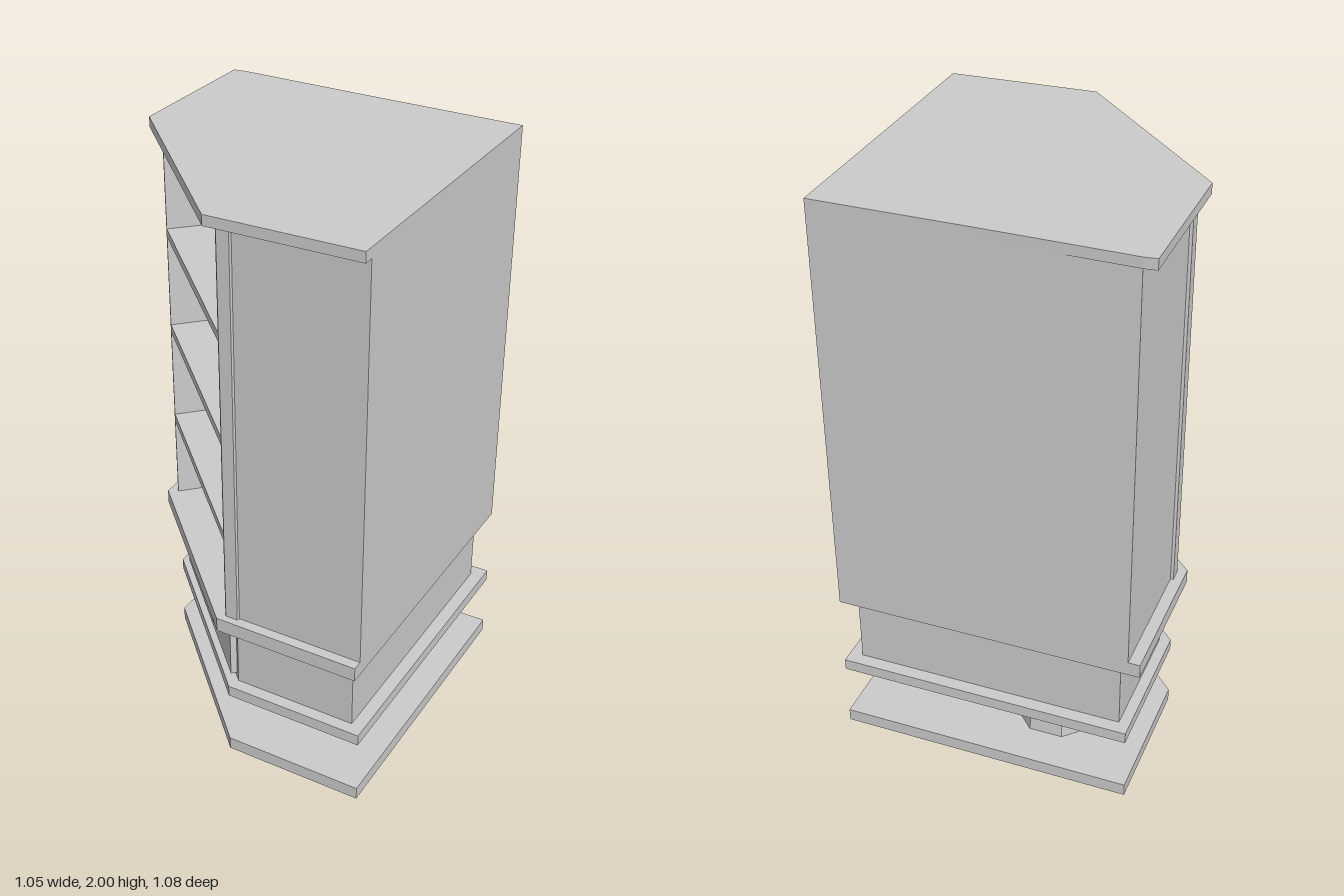
import * as THREE from 'three';

const material = new THREE.MeshStandardMaterial({ color: 0xcccccc, flatShading: true, side: THREE.DoubleSide });

function add(parent, name, geometry, x = 0, y = 0, z = 0) {
  const mesh = new THREE.Mesh(geometry, material);
  mesh.name = name;
  mesh.position.set(x, y, z);
  parent.add(mesh);
  return mesh;
}

// Upright prism from a plan of [x, z] corners, between two heights
function prism(plan, y0, y1) {
  const shape = new THREE.Shape(plan.map(([x, z]) => new THREE.Vector2(x, -z)));
  return new THREE.ExtrudeGeometry(shape, { depth: y1 - y0, bevelEnabled: false })
    .rotateX(-Math.PI / 2).translate(0, y0, 0);
}

// Five-sided corner plan: back corner, front edge depth and where the diagonal starts
function cornerPlan(right, back, front, left, cut) {
  return [[left, back], [right, back], [right, front], [cut, front], [left, -cut]];
}

export function createModel() {
  const group = new THREE.Group();
  group.name = 'cornerCabinet';

  // Horizontal boards and the drawer housing
  add(group, 'basePlate', prism(cornerPlan(0.525, -0.535, 0.487, -0.49, 0.037), 0, 0.045));
  add(group, 'drawerFloor', prism(cornerPlan(0.525, -0.535, 0.487, -0.487, 0.037), 0.235, 0.275));
  add(group, 'drawerHousing', prism(cornerPlan(0.48, -0.49, 0.445, -0.45, 0.05), 0.275, 0.53));
  add(group, 'counter', prism(cornerPlan(0.525, -0.535, 0.522, -0.527, 0.02), 0.53, 0.58));
  add(group, 'topBoard', prism(
    [[-0.53, -0.535], [-0.49, -0.54], [0, -0.535], [0.525, -0.535], [0.525, 0.522], [0.02, 0.535], [-0.53, -0.02]],
    1.965, 2));

  // Tall case with a rectangular recess square to the diagonal
  const half = [[0.525, 0.487], [0.085, 0.487], [0.083, 0.497], [0.04, 0.497], [0.035, 0.492], [0.28, 0.247]];
  const mirrored = half.map(([x, z]) => [-z, -x]).reverse();
  mirrored[mirrored.length - 1] = [-0.487, -0.535];
  add(group, 'shelfCase', prism([[0.525, -0.535], ...half, ...mirrored], 0.58, 1.965));

  // Shelves in the recess
  const shelfPlan = [[0.035, 0.492], [0.28, 0.247], [-0.247, -0.28], [-0.492, -0.035]];
  for (const y of [0.875, 1.23, 1.585]) add(group, 'shelf', prism(shelfPlan, y, y + 0.03));

  // Drawer front with two knobs, facing the diagonal
  const drawer = new THREE.Group();
  drawer.name = 'drawer';
  drawer.position.set(-0.2, 0.405, 0.2);
  drawer.rotation.y = -Math.PI / 4;
  group.add(drawer);
  add(drawer, 'drawerFront', new THREE.BoxGeometry(0.665, 0.22, 0.03), 0, 0, 0.003);
  for (const x of [-0.148, 0.148]) {
    add(drawer, 'knob', new THREE.CylinderGeometry(0.022, 0.018, 0.02, 10).rotateX(Math.PI / 2), x, -0.002, 0.026);
  }

  // Two eight-sided tapered feet
  for (const [x, z] of [[0.258, 0.155], [-0.158, -0.255]]) {
    const foot = new THREE.Group();
    foot.name = 'foot';
    foot.position.set(x, 0, z);
    foot.rotation.y = Math.PI / 8;
    group.add(foot);
    add(foot, 'footBase', new THREE.CylinderGeometry(0.146, 0.153, 0.06, 8), 0, 0.075, 0);
    add(foot, 'footColumn', new THREE.CylinderGeometry(0.1, 0.138, 0.13, 8), 0, 0.17, 0);
  }
  return group;
}
